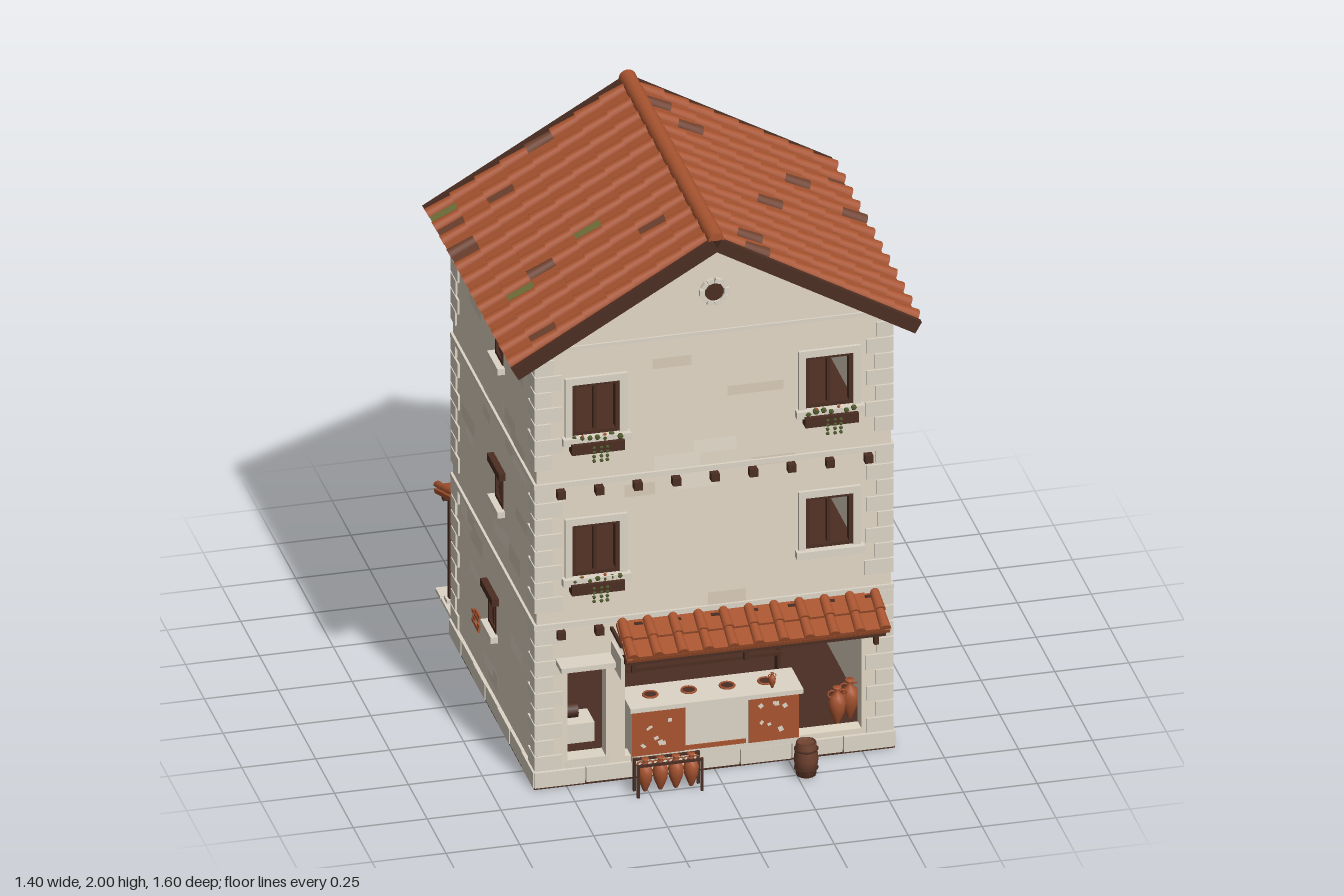
import * as THREE from 'three';

const mat = (name, color, double) => {
  const m = new THREE.MeshStandardMaterial({ color });
  m.name = name;
  if (double) m.side = THREE.DoubleSide;
  return m;
};

export function createModel() {
  const M = {
    wall: mat('plaster wall', 0xe3d8c7), patch: mat('pale plaster', 0xeae0d0), tan: mat('tan plaster', 0xd9ccb8), stone: mat('trim stone', 0xddd5c6),
    tile: mat('terracotta', 0xa85430, true), darkTile: mat('old tile', 0x704230), moss: mat('mossy tile', 0x72713a),
    wood: mat('dark wood', 0x4c2e23), leaf: mat('leaf green', 0x4f5a2c), floor: mat('floor earth', 0x4a2e24),
  };
  let seed = 7;
  const rnd = () => (seed = (seed * 16807) % 2147483647) / 2147483647;
  const root = new THREE.Group();
  root.name = 'townhouse';

  const group = (parent, name, x = 0, y = 0, z = 0, ry = 0) => {
    const g = new THREE.Group();
    g.name = name; g.position.set(x, y, z); g.rotation.y = ry;
    parent.add(g);
    return g;
  };
  const put = (parent, name, geo, m, x = 0, y = 0, z = 0) => {
    const o = new THREE.Mesh(geo, m);
    o.name = name; o.position.set(x, y, z);
    parent.add(o);
    return o;
  };
  const box = (p, name, m, w, h, d, x, y, z) => put(p, name, new THREE.BoxGeometry(w, h, d), m, x, y, z);
  const lathe = (pts, n = 12) => new THREE.LatheGeometry(pts.map(a => new THREE.Vector2(...a)), n);
  const amphoraGeo = lathe([[0, 0], [.007, .002], [.024, .045], [.027, .075], [.02, .095], [.009, .105], [.009, .118], [.014, .124], [0, .124]]);
  const amphora = (p, x, y, z, s = 1) => {
    const g = group(p, 'amphora', x, y, z);
    g.scale.setScalar(s);
    put(g, 'jar', amphoraGeo, M.tile);
    for (const k of [-1, 1]) put(g, 'handle', new THREE.TorusGeometry(.012, .003, 5, 8), M.tile, k * .017, .102, 0);
  };

  // House shell: four faces, each with local +z pointing outward
  const house = group(root, 'house', 0, 0, .075);
  const H = Math.PI / 2;
  // windows: [u, centre y, width, height, style, flower box]
  const faces = [
    { name: 'frontFace', ry: 0, d: .553, hw: .6, gable: true, holes: [[-.4, 1.385, .16, .19, 1, 1], [.39, 1.385, .16, .19, 1, 1],
      [-.4, .865, .16, .19, 1, 1], [.39, .865, .16, .19, 1, 0], [.1, .27, .8, .38, 0, 0], [-.43, .26, .13, .36, 0, 0]] },
    { name: 'rightFace', ry: H, d: .6, hw: .503, holes: [[-.125, 1.39, .135, .16, 1, 1], [.115, .87, .135, .16, 1, 0], [-.125, .35, .135, .16, 1, 0]] },
    { name: 'backFace', ry: 2 * H, d: .553, hw: .6, gable: true, holes: [[-.12, 1.4, .1, .12, 2, 0], [.1, .88, .1, .12, 2, 0], [-.105, .355, .1, .12, 2, 0]] },
    { name: 'leftFace', ry: -H, d: .6, hw: .503, holes: [[.065, 1.4, .1, .12, 2, 0], [.065, .87, .1, .12, 2, 0], [-.025, .36, .1, .12, 2, 0]] },
  ];

  function flowerBox(p, u, y, w) {
    const g = group(p, 'flowerBox', u, y, .024);
    box(g, 'planter', M.wood, w, .036, .038, 0, 0, 0);
    for (let i = 0; i < 7; i++) {
      const x = (i / 6 - .5) * w * .85;
      put(g, 'plant', new THREE.IcosahedronGeometry(.008 + rnd() * .005, 0), M.leaf, x, .023 + rnd() * .014, (rnd() - .5) * .018);
      if (i % 3 === 1) put(g, 'blossom', new THREE.IcosahedronGeometry(.006, 0), M.tile, x, .042, .005);
    }
    for (const x of [-.015, .01, .03]) for (let k = 0; k < 4; k++)
      put(g, 'trailingLeaf', new THREE.IcosahedronGeometry(.007, 0), M.leaf, x, .002 - k * .016, .018);
  }

  function windowUnit(p, [u, y, w, h, style, flowers]) {
    const g = group(p, 'window', u, y, 0), t = .013;
    for (const k of [-1, 1]) {
      box(g, 'frameSide', M.wood, t, h, .03, k * (w - t) / 2, 0, -.012);
      box(g, 'frameRail', M.wood, w, t, .03, 0, k * (h - t) / 2, -.012);
      if (style === 1) box(g, 'surroundSide', M.stone, .025, h, .016, k * (w / 2 + .0125), 0, .004);
    }
    box(g, 'mullion', M.wood, .012, h, .02, 0, 0, -.012);
    if (style === 1) {
      box(g, 'surroundHead', M.stone, w + .05, .025, .016, 0, h / 2 + .0125, .004);
      box(g, 'sill', M.stone, w + .07, .026, .035, 0, -h / 2 - .013, .012);
    } else {
      for (const k of [-.5, .5]) box(g, 'bar', M.wood, .006, h, .012, k * w / 2, 0, -.012);
      for (const k of [-1, 1]) box(g, 'crossBar', M.wood, w, .007, .012, 0, k * h / 6, -.012);
      box(g, 'lintel', M.wood, w + .06, .026, .03, 0, h / 2 + .013, .008);
      box(g, 'sill', M.stone, w + .04, .022, .03, 0, -h / 2 - .011, .01);
    }
    if (flowers) flowerBox(p, u, y - h / 2 - .035, w + .02);
  }

  for (const f of faces) {
    const g = group(house, f.name, Math.sin(f.ry) * f.d, 0, Math.cos(f.ry) * f.d, f.ry);
    const full = f.gable ? .6 : .553;
    const s = new THREE.Shape();
    s.moveTo(-f.hw, .01); s.lineTo(f.hw, .01); s.lineTo(f.hw, 1.6);
    if (f.gable) s.lineTo(0, 1.945);
    s.lineTo(-f.hw, 1.6);
    for (const [u, y, w, h] of f.holes) {
      const q = new THREE.Path();
      q.moveTo(u - w / 2, y - h / 2); q.lineTo(u - w / 2, y + h / 2); q.lineTo(u + w / 2, y + h / 2); q.lineTo(u + w / 2, y - h / 2);
      s.holes.push(q);
    }
    put(g, 'wall', new THREE.ExtrudeGeometry(s, { depth: .05, bevelEnabled: false }), M.wall, 0, 0, -.05);
    f.holes.filter(a => a[4]).forEach(a => windowUnit(g, a));
    // Storey bands
    for (const y of [.595, 1.115]) box(g, 'storeyBand', M.stone, full * 2 + .012, .018, .018, 0, y, 0);
    if (f.gable) box(g, 'gableBand', M.stone, full * 2, .012, .012, 0, 1.615, 0);
    // Plinth blocks
    const n = 7, pw = (full * 2 + .02) / n;
    for (let i = 0; i < n; i++) box(g, 'plinthBlock', M.stone, pw - .004, .056, .03, (i - (n - 1) / 2) * pw, .033, -.002 - (i % 2) * .002);
    // Corner quoins
    for (const k of [-1, 1]) for (let i = 0; i < 26; i++) {
      const w = (i % 2 ? .055 : .09) + rnd() * .01, y = .09 + i * .0585;
      if (Math.abs(y - .595) < .03 || Math.abs(y - 1.115) < .03) continue;
      box(g, 'quoin', M.stone, w, .052, .014, k * (full + .007 - w / 2), y, 0);
    }
    // Uneven plaster patches
    for (let i = 0; i < 30; i++) {
      const w = .08 + rnd() * .12, h = .03 + rnd() * .035, u = (rnd() - .5) * .75, y = .12 + rnd() * 1.42;
      const clash = f.holes.some(a => Math.abs(a[0] - u) < (a[2] + w) / 2 + .04 && Math.abs(a[1] - y) < (a[3] + h) / 2 + .06);
      if (!clash) put(g, 'plasterPatch', new THREE.PlaneGeometry(w, h), i % 2 ? M.patch : M.tan, u, y, .0006 + i * .00003);
    }
    f.group = g;
  }
  const front = faces[0].group, left = faces[3].group;
  // Beam ends and gable roundel
  for (let i = 0; i < 9; i++) for (const y of [.565, 1.085])
    box(front, 'beamEnd', M.wood, .028, .028, .03, -.52 + i * .13, y, .012);
  put(front, 'roundelCentre', new THREE.CylinderGeometry(.032, .032, .012, 16).rotateX(H), M.wood, 0, 1.765, .003);
  for (let i = 0; i < 10; i++) {
    const a = i * Math.PI / 5;
    box(front, 'roundelStone', M.stone, .016, .022, .02, Math.cos(a) * .041, 1.765 + Math.sin(a) * .041, .004).rotation.z = a;
  }
  // Exposed bricks
  for (let r = 0; r < 4; r++) for (let c = 0; c < 3; c++)
    if ((r * 3 + c) % 5 !== 4) box(left, 'exposedBrick', M.tile, .026, .013, .008, -.27 + c * .03 + (r % 2) * .01, .2 + r * .018, .002);
  // Floors: plastered ceilings below, boards on top
  box(house, 'baseSlab', M.floor, 1.22, .006, 1.13, 0, .003, 0);
  box(house, 'groundFloor', M.floor, 1.19, .03, 1.09, 0, .04, 0);
  for (const y of [.6, 1.12, 1.58]) {
    box(house, 'ceiling', M.wall, 1.11, .02, 1.01, 0, y, 0);
    box(house, 'floorBoards', M.wood, 1.1, .008, 1.0, 0, y + .014, 0);
  }

  // Tiled slope: local x runs downhill; pickTile chooses a material from downhill distance and local z
  function slope(name, x, y, z, ry, angle, len, width, rows, cols, r, deckMat, pickTile = () => M.tile) {
    const g = group(group(root, name, x, y, z, ry), name + 'Slope');
    g.rotation.z = -angle;
    box(g, 'deck', deckMat, len, .014, width, len / 2, .007, 0);
    const step = len / rows, pitch = (width - 2 * r) / (cols - 1);
    const cover = new THREE.CylinderGeometry(r * .86, r * 1.08, step * 1.08, 8, 1, false, 0, Math.PI).rotateZ(H);
    const pan = new THREE.BoxGeometry(step * 1.06, .01, pitch - .002);
    for (let i = 0; i < rows; i++) for (let j = 0; j < cols; j++) {
      const zz = (j - (cols - 1) / 2) * pitch, xx = (i + .5) * step;
      put(g, 'coverTile', cover, pickTile(xx, zz), xx, .022, zz).rotation.z = .04;
      if (j < cols - 1) put(g, 'panTile', pan, pickTile(xx, zz + pitch / 2), xx, .018, zz + pitch / 2).rotation.z = .009 / step;
    }
    return g;
  }
  // Main roof with weathered tiles at [x, z]
  const oldSpots = [[-.3, -.47], [-.6, -.33], [-.47, -.33], [-.65, -.175], [-.63, -.13], [-.48, .22], [-.12, .37], [-.55, .57],
    [.05, -.37], [.64, -.33], [.13, -.275], [.48, -.175], [.65, -.08], [.31, .12], [.13, .515], [.13, .615]];
  const mossSpots = [[-.64, -.425], [-.29, .17], [-.55, .27]];
  for (const k of [1, -1]) {
    const pick = (d, z) => {
      const near = ([sx, sz]) => Math.abs(sx - k * d * .866) < .042 && Math.abs(sz - .073 - k * z) < .024;
      return mossSpots.some(near) ? M.moss : oldSpots.some(near) ? M.darkTile : M.tile;
    };
    const g = slope('mainRoof', 0, 1.945, .073, k > 0 ? 0 : Math.PI, Math.PI / 6, .777, 1.128, 8, 12, .022, M.wood, pick);
    for (const e of [-1, 1]) {
      box(g, 'bargeBoard', M.wood, .782, .045, .022, .391, .009, e * .589);
      box(g, 'deckEdge', M.wood, .777, .014, .016, .388, .007, e * .571);
    }
    for (let i = 0; i < 10; i++) box(g, 'rafterEnd', M.wood, .1, .022, .022, .72, -.009, -.5 + i * .111);
  }
  for (let i = 0; i < 12; i++)
    put(root, 'ridgeTile', new THREE.CylinderGeometry(.027, .03, .104, 10, 1, false, H, Math.PI).rotateX(H), M.tile, 0, 1.969, .073 + (i - 5.5) * .0985);

  // Shop awning
  slope('shopAwning', .115, .565, .625, -H, .42, .16, .89, 2, 11, .018, M.tile);
  box(root, 'awningBeam', M.wood, .88, .022, .022, .11, .492, .745);
  for (const x of [-.3, .08, .52]) {
    box(root, 'awningBracket', M.wood, .018, .014, .14, x, .478, .69).rotation.x = -.45;
    box(root, 'awningDrop', M.wood, .016, .04, .016, x, .47, .745);
  }
  // Hanging sign and door hood
  box(root, 'signRod', M.wood, .01, .012, .14, -.345, .56, .695);
  box(root, 'signBoard', M.stone, .01, .08, .13, -.345, .48, .705);
  box(root, 'doorHood', M.stone, .19, .018, .08, -.44, .462, .665);
  box(root, 'doorStep', M.stone, .15, .03, .06, -.43, .075, .6);
  box(root, 'doorBlock', M.stone, .12, .07, .1, -.43, .115, .45);
  put(root, 'doorCask', new THREE.CylinderGeometry(.026, .026, .065, 10).rotateZ(H), M.wood, -.45, .178, .45);

  // Shop counter
  const shop = group(root, 'shop');
  box(shop, 'counter', M.stone, .56, .19, .13, 0, .155, .575);
  for (const [x, w] of [[-.19, .18], [.2, .17]]) {
    box(shop, 'paintedPanel', M.tile, w, .165, .006, x, .165, .641);
    for (let i = 0; i < 7; i++)
      box(shop, 'paintChip', M.stone, .01 + rnd() * .008, .008 + rnd() * .01, .004, x + (rnd() - .5) * w * .7, .165 + (rnd() - .5) * .12, .644).rotation.z = rnd();
  }
  box(shop, 'panelStripe', M.tile, .21, .016, .006, 0, .092, .641);
  box(shop, 'counterTop', M.stone, .585, .016, .16, .005, .256, .575);
  for (let i = 0; i < 4; i++) {
    put(shop, 'servingWell', new THREE.CylinderGeometry(.022, .022, .004, 14), M.floor, -.2 + i * .13, .265, .57);
    put(shop, 'wellRim', new THREE.TorusGeometry(.024, .004, 6, 14).rotateX(H), M.tile, -.2 + i * .13, .266, .57);
  }
  amphora(shop, .2, .264, .62, .45);
  // Wine shelves
  for (const y of [.285, .375]) box(shop, 'shelf', M.wood, .54, .012, .06, .01, y, .4);
  for (const x of [-.255, .275]) box(shop, 'shelfPost', M.wood, .012, .34, .04, x, .22, .4);
  for (let i = 0; i < 5; i++) for (const y of [.291, .381])
    amphora(shop, -.2 + i * .105, y, .4, i % 2 ? .38 : .6);
  for (let i = 0; i < 6; i++) if (i !== 3)
    put(shop, 'hangingHerb', new THREE.ConeGeometry(.012, .04, 6).rotateX(Math.PI), i % 2 ? M.leaf : M.wood, -.22 + i * .13, .43, .56);
  amphora(shop, .435, .07, .56, 1.1);
  amphora(shop, .485, .07, .53, 1.15);

  // Street rack with jars, and barrel
  const rack = group(root, 'jarRack', -.185, 0, .75);
  for (const k of [-1, 1]) {
    for (const x of [-.108, .108]) box(rack, 'rackLeg', M.wood, .009, .12, .009, x, .06, k * .026);
    box(rack, 'rackRail', M.wood, .22, .008, .008, 0, .115, k * .026);
  }
  for (let i = 0; i < 4; i++) amphora(rack, -.078 + i * .052, .008, 0, .97);
  const barrel = group(root, 'barrel', .28, .005, .757);
  put(barrel, 'staves', lathe([[0, 0], [.033, 0], [.041, .06], [.033, .12], [.029, .12], [.029, .112], [0, .112]], 14), M.darkTile);
  for (const [y, r] of [[.025, .038], [.095, .038]]) put(barrel, 'hoop', new THREE.TorusGeometry(r, .003, 5, 16).rotateX(H), M.wood, 0, y, 0);

  // Rear canopy on posts
  slope('rearCanopy', 0, .495, -.475, H, .35, .27, 1.2, 3, 13, .014, M.tile);
  box(root, 'canopyBeam', M.wood, 1.16, .022, .022, 0, .4, -.7);
  for (const x of [-.55, .56]) {
    box(root, 'canopyPost', M.wood, .022, .4, .022, x, .2, -.7);
    box(root, 'postFoot', M.stone, .04, .02, .04, x, .015, -.7);
  }
  // Rear paving
  for (let i = 0; i < 10; i++) for (let j = 0; j < 3; j++)
    box(root, 'pavingSlab', M.stone, .118, .01 + rnd() * .003, j === 2 ? .066 : .118, -.52 + i * .123, .0066, j === 2 ? -.767 : -.55 - j * .122);

  // Hand cart
  const cart = group(root, 'cart', .12, 0, -.59);
  box(cart, 'bed', M.wood, .22, .012, .14, 0, .1, 0);
  for (const k of [-1, 1]) {
    box(cart, 'sideBoard', M.wood, .22, .055, .008, 0, .13, k * .068);
    box(cart, 'endBoard', M.wood, .008, .055, .14, k * .108, .13, 0);
    box(cart, 'shaft', M.wood, .12, .01, .01, -.15, .1, k * .045);
    const wheel = group(cart, 'wheel', 0, .07, k * .083);
    put(wheel, 'rim', new THREE.TorusGeometry(.052, .006, 6, 18), M.wood);
    for (let i = 0; i < 4; i++) box(wheel, 'spoke', M.wood, .1, .006, .006, 0, 0, 0).rotation.z = i * Math.PI / 4;
    put(wheel, 'hub', new THREE.CylinderGeometry(.011, .011, .016, 8).rotateX(H), M.wood);
  }
  for (let i = 0; i < 5; i++) put(cart, 'sack', new THREE.SphereGeometry(.026, 8, 6), M.stone, -.06 + i * .03, .145, (i % 2 - .5) * .05);

  // Bench with greens, crates and trough
  const bench = group(root, 'bench', .45, 0, -.6);
  box(bench, 'benchTop', M.wood, .21, .018, .1, 0, .12, 0);
  for (const x of [-.08, .08]) for (const z of [-.036, .036]) box(bench, 'benchLeg', M.wood, .016, .105, .016, x, .06, z);
  for (let i = 0; i < 6; i++) put(bench, 'greens', new THREE.IcosahedronGeometry(.013, 0), M.leaf, -.07 + i * .028, .136, (i % 2 - .5) * .03);
  for (const y of [.05, .13]) {
    box(root, 'crate', M.moss, .1, .077, .085, -.19, y, -.61);
    box(root, 'crateBand', M.leaf, .104, .01, .089, -.19, y + .033, -.61);
  }
  box(root, 'trough', M.stone, .16, .07, .07, -.4, .045, -.53);
  return root;
}
